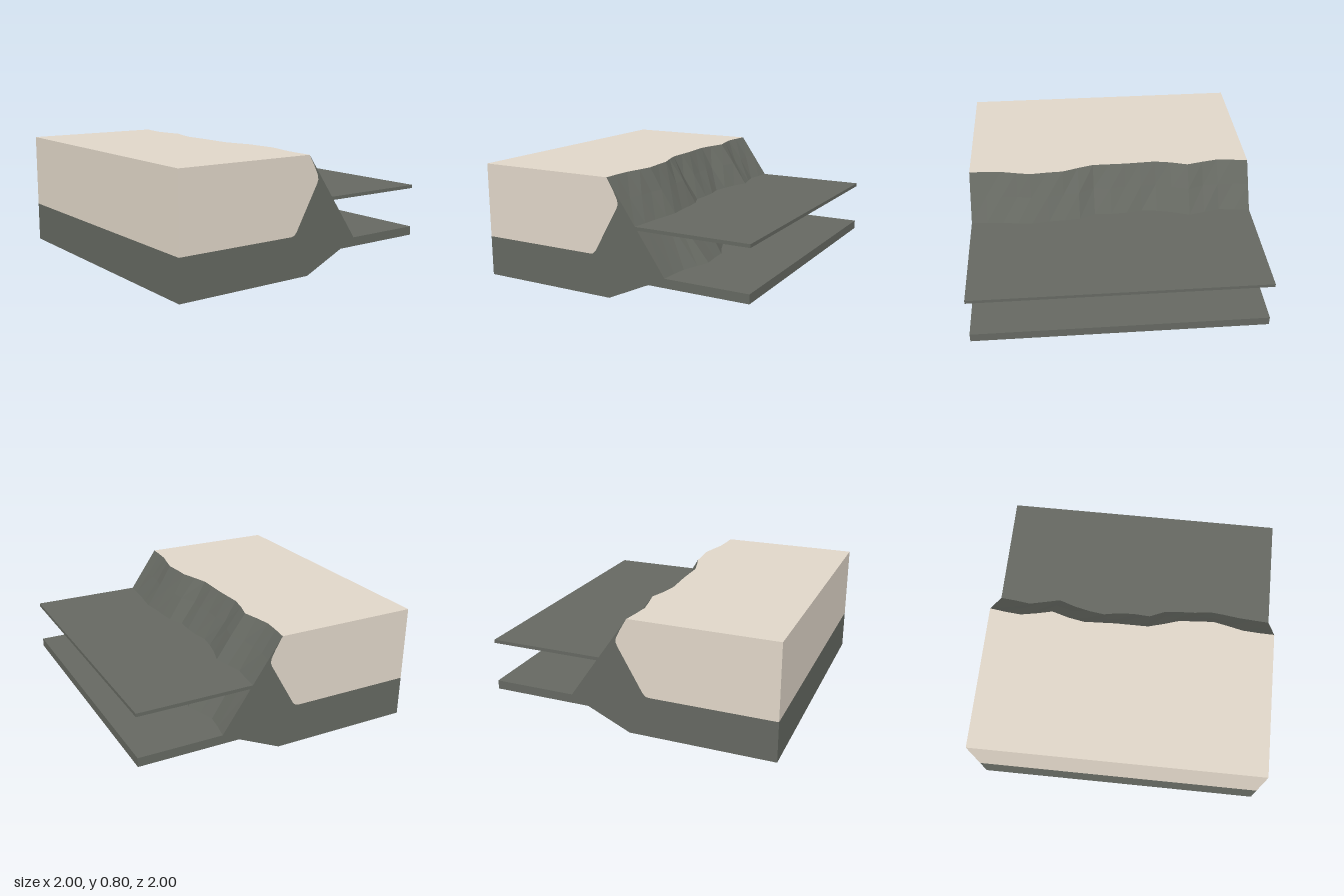
import * as THREE from 'three';

// stations across the width, with the wavy offset (in z) of the cliff at its rim, at mid height and in between
const X =    [-1, -0.89, -0.78, -0.67, -0.56, -0.44, -0.33, -0.22, -0.11, 0, 0.12, 0.23, 0.34, 0.45, 0.57, 0.67, 0.78, 0.89, 1];
const rim =  [0, 0.015, 0.025, 0.005, -0.02, 0.015, 0.035, 0.03, 0.025, 0.025, 0.025, -0.005, -0.04, -0.045, -0.055, -0.035, -0.01, -0.003, 0];
const mid =  [0, 0.01, 0.025, 0, -0.025, 0.015, 0.04, 0.055, 0.035, 0.03, 0.037, -0.01, -0.02, -0.025, -0.04, -0.03, -0.015, -0.007, 0];
const bump = [0, 0.006, -0.008, 0.01, -0.004, -0.01, 0.012, -0.006, 0.008, -0.004, 0.01, -0.01, 0.006, -0.006, 0.004, 0.008, -0.006, 0.004, 0];
const wave = {
  none: () => 0,
  rim: i => rim[i],
  face: i => (rim[i] + mid[i]) / 2 + bump[i],
  mid: i => mid[i],
  foot: i => rim[i] * 1.5,
  toe: i => rim[i] * 1.25,
};

// lofts a side profile of [z, y, wave] across the width and caps both ends;
// edges listed in `open` (inner contacts and the open underside) get no faces
function loft(profile, open = []) {
  const pos = [];
  const pt = (i, j) => {
    const [z, y, w = 'none'] = profile[j % profile.length];
    return [X[i], y, z + wave[w](i)];
  };
  for (let i = 0; i < X.length - 1; i++) {
    for (let j = 0; j < profile.length; j++) {
      if (open.includes(j)) continue;
      const a = pt(i, j), b = pt(i + 1, j), c = pt(i + 1, j + 1), d = pt(i, j + 1);
      pos.push(...a, ...b, ...c, ...a, ...c, ...d);
    }
  }
  for (const i of [0, X.length - 1]) {
    const flat = profile.map((_, j) => new THREE.Vector2(pt(i, j)[2], pt(i, j)[1]));
    for (const [a, b, c] of THREE.ShapeUtils.triangulateShape(flat, [])) {
      const facesRight = THREE.ShapeUtils.area([flat[a], flat[b], flat[c]]) < 0;
      const order = facesRight === (i > 0) ? [a, b, c] : [a, c, b];
      order.forEach(j => pos.push(...pt(i, j)));
    }
  }
  const g = new THREE.BufferGeometry();
  g.setAttribute('position', new THREE.Float32BufferAttribute(pos, 3));
  g.computeVertexNormals();
  return g;
}

export function createModel() {
  const stone = new THREE.MeshStandardMaterial({ color: 0xe0d6c8 });
  stone.name = 'paleStone';
  const rock = new THREE.MeshStandardMaterial({ color: 0x656861, side: THREE.DoubleSide });
  rock.name = 'darkRock';

  const group = new THREE.Group();
  group.name = 'crustBlock';
  const add = (name, geometry, material) => {
    const mesh = new THREE.Mesh(geometry, material);
    mesh.name = name;
    group.add(mesh);
    return mesh;
  };

  // contact between the pale upper layer and the dark rock, from the front up to the rim
  const contact = [
    [1, 0.28], [0.14, 0.28], [0.12, 0.285], [0.1, 0.305], [-0.07, 0.605],
    [-0.08, 0.63], [-0.077, 0.66], [-0.05, 0.715], [0, 0.8, 'rim'],
  ];
  const contactEdges = contact.slice(1).map((_, k) => k + 1);

  // dark base shell with sloping cliff and sloping lower back, open underneath
  add('darkBase', loft([
    [1, 0], ...contact,
    [-0.1, 0.657, 'face'], [-0.207, 0.505, 'mid'], [-0.42, 0.2, 'foot'],
    [-0.3, 0.138, 'toe'], [0, 0, 'rim'],
  ], [...contactEdges, 12, 14]), rock);

  // pale layer resting in the base
  add('paleLayer', loft([[1, 0.8], ...[...contact].reverse()], contactEdges), stone);

  // slab that closes the base from inside and runs out behind as a shelf
  add('lowerSlab', new THREE.BoxGeometry(2, 0.062, 2), rock).position.y = 0.169;

  // thin floating sheet that meets the cliff at mid height
  add('upperSheet', loft([
    [-0.215, 0.482, 'mid'], [-0.205, 0.505, 'mid'], [-1, 0.505], [-1, 0.482],
  ]), rock);

  return group;
}
